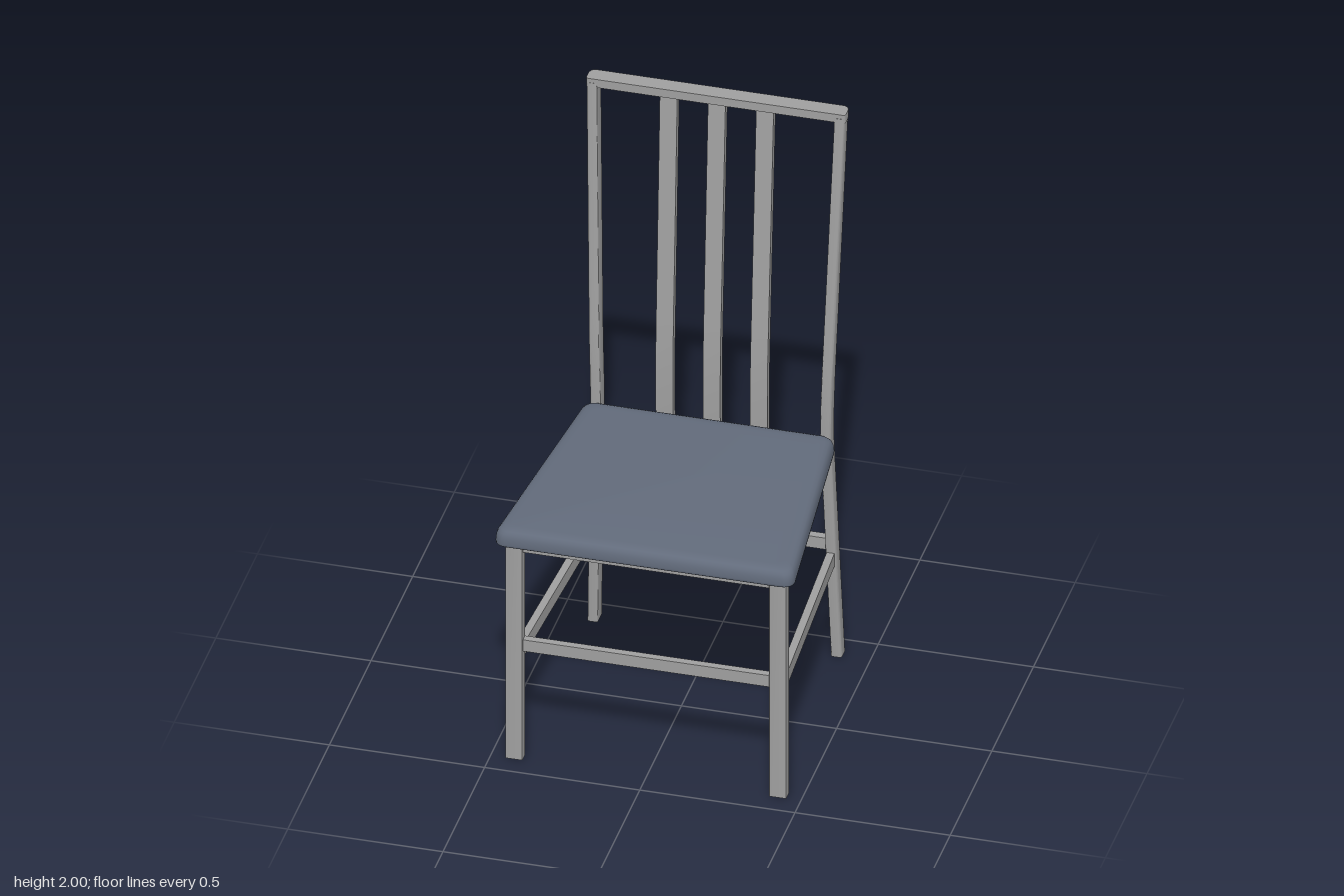
import * as THREE from 'three';
import { toCreasedNormals } from 'three/addons/utils/BufferGeometryUtils.js';

// Skin a stack of convex rings, each counter-clockwise seen from above, with end caps
function loft(rings, crease = 0.6) {
  const pos = [];
  const tri = (a, b, c) => pos.push(...a, ...b, ...c);
  const n = rings[0].length;
  for (let r = 0; r < rings.length - 1; r++) {
    const a = rings[r], b = rings[r + 1];
    for (let i = 0; i < n; i++) {
      const j = (i + 1) % n;
      tri(a[i], a[j], b[j]);
      tri(a[i], b[j], b[i]);
    }
  }
  const low = rings[0], top = rings[rings.length - 1];
  for (let i = 1; i < n - 1; i++) {
    tri(low[0], low[i + 1], low[i]);
    tri(top[0], top[i], top[i + 1]);
  }
  const g = new THREE.BufferGeometry();
  g.setAttribute('position', new THREE.Float32BufferAttribute(pos, 3));
  return toCreasedNormals(g, crease);
}

// Rounded outline from corner points [x, z, radius], counter-clockwise from above
function outline(corners, steps = 5) {
  const pts = [];
  corners.forEach(([x, z, r], k) => {
    for (let s = 0; s <= steps; s++) {
      const a = (k + s / steps) * Math.PI / 2;
      const sx = k === 0 || k === 3 ? 1 : -1, sz = k < 2 ? -1 : 1;
      pts.push([x - sx * r + Math.cos(a) * r, z - sz * r - Math.sin(a) * r]);
    }
  });
  return pts;
}

export function createModel() {
  const chair = new THREE.Group();
  const frame = new THREE.MeshStandardMaterial({ color: 0xa0a0a0 });
  frame.name = 'greyFrame';
  const fabric = new THREE.MeshStandardMaterial({ color: 0x626b7b });
  fabric.name = 'slateCushion';

  const add = (name, geo, mat = frame) => {
    const m = new THREE.Mesh(geo, mat);
    m.name = name;
    chair.add(m);
    return m;
  };
  const box = (name, x0, x1, y0, y1, z0, z1) =>
    add(name, new THREE.BoxGeometry(x1 - x0, y1 - y0, z1 - z0))
      .position.set((x0 + x1) / 2, (y0 + y1) / 2, (z0 + z1) / 2);
  // Straight rail lying between two points
  const rail = (name, a, b, w, h) => {
    const p = new THREE.Vector3(...a), q = new THREE.Vector3(...b);
    const m = add(name, new THREE.BoxGeometry(w, h, p.distanceTo(q)));
    m.position.copy(p).add(q).multiplyScalar(0.5);
    m.lookAt(q);
  };

  // Bent line shared by the back posts and slats: [y, z]
  const bend = [[0, -0.422], [0.44, -0.395], [0.74, -0.377], [0.84, -0.373], [0.95, -0.372],
    [1.06, -0.374], [1.16, -0.38], [1.97, -0.435], [1.985, -0.436]];
  const postX = (y) => (y < 0.86 ? 0.393 - 0.023 * y / 0.86 : 0.37 + 0.03 * (y - 0.86) / 1.14);

  // Back posts, rounded on the outer side
  const post = outline([[0.017, -0.027, 0.014], [-0.017, -0.027, 0.003],
    [-0.017, 0.027, 0.003], [0.017, 0.027, 0.008]], 3);
  for (const s of [1, -1]) {
    const rings = bend.map(([y, z]) => {
      const ring = post.map(([x, dz]) => [s * (postX(y) + x), y, z + dz]);
      return s > 0 ? ring : ring.reverse();
    });
    add(s > 0 ? 'leftBackPost' : 'rightBackPost', loft(rings));
  }

  // Top rail with rounded ends
  const cap = outline([[0.418, -0.466, 0.022], [-0.418, -0.466, 0.022],
    [-0.418, -0.41, 0.008], [0.418, -0.41, 0.008]]);
  add('topRail', loft([1.97, 2].map((y) => cap.map(([x, z]) => [x, y, z]))));

  // Three bent back slats
  const slat = [[0.028, -0.014], [-0.028, -0.014], [-0.028, 0.011], [0.028, 0.011]];
  for (const k of [-1, 0, 1]) {
    const rings = bend.slice(1, -1).map(([y, z]) =>
      slat.map(([x, dz]) => [k * (0.152 + 0.003 * (y - 0.9)) + x, y, z + dz]));
    add('backSlat', loft(rings, 0.3));
  }

  // Front legs and side rails
  for (const s of [1, -1]) {
    const cx = s * 0.425;
    const leg = outline([[cx + 0.028, 0.392, 0.004], [cx - 0.028, 0.392, 0.004],
      [cx - 0.028, 0.43, 0.004], [cx + 0.028, 0.43, 0.004]], 2);
    add('frontLeg', loft([0, 0.803].map((y) => leg.map(([x, z]) => [x, y, z]))));
    rail('sideStretcher', [s * 0.42, 0.375, 0.4], [s * 0.38, 0.375, -0.39], 0.025, 0.048);
    rail('sideApron', [s * 0.42, 0.784, 0.4], [s * 0.37, 0.784, -0.36], 0.025, 0.036);
  }

  // Cross rails
  box('frontApron', -0.4, 0.4, 0.766, 0.802, 0.397, 0.423);
  box('backApron', -0.36, 0.36, 0.766, 0.802, -0.345, -0.32);
  box('frontStretcher', -0.4, 0.4, 0.4, 0.442, 0.398, 0.423);
  box('backStretcher', -0.375, 0.375, 0.4, 0.442, -0.412, -0.384);

  // Tapered seat cushion with soft edges: [y, inset]
  const soft = [[0.8, 0.006], [0.804, 0.001], [0.812, 0], [0.832, 0.002], [0.845, 0.006],
    [0.853, 0.013], [0.858, 0.024], [0.86, 0.045]];
  add('seatCushion', loft(soft.map(([y, d]) => {
    const b = 0.408 - d, f = 0.482 - d, r = 0.035;
    return outline([[b, -0.347 + d, r], [-b, -0.347 + d, r], [-f, 0.465 - d, r], [f, 0.465 - d, r]])
      .map(([x, z]) => [x, y, z]);
  }), 0.8), fabric);

  return chair;
}
